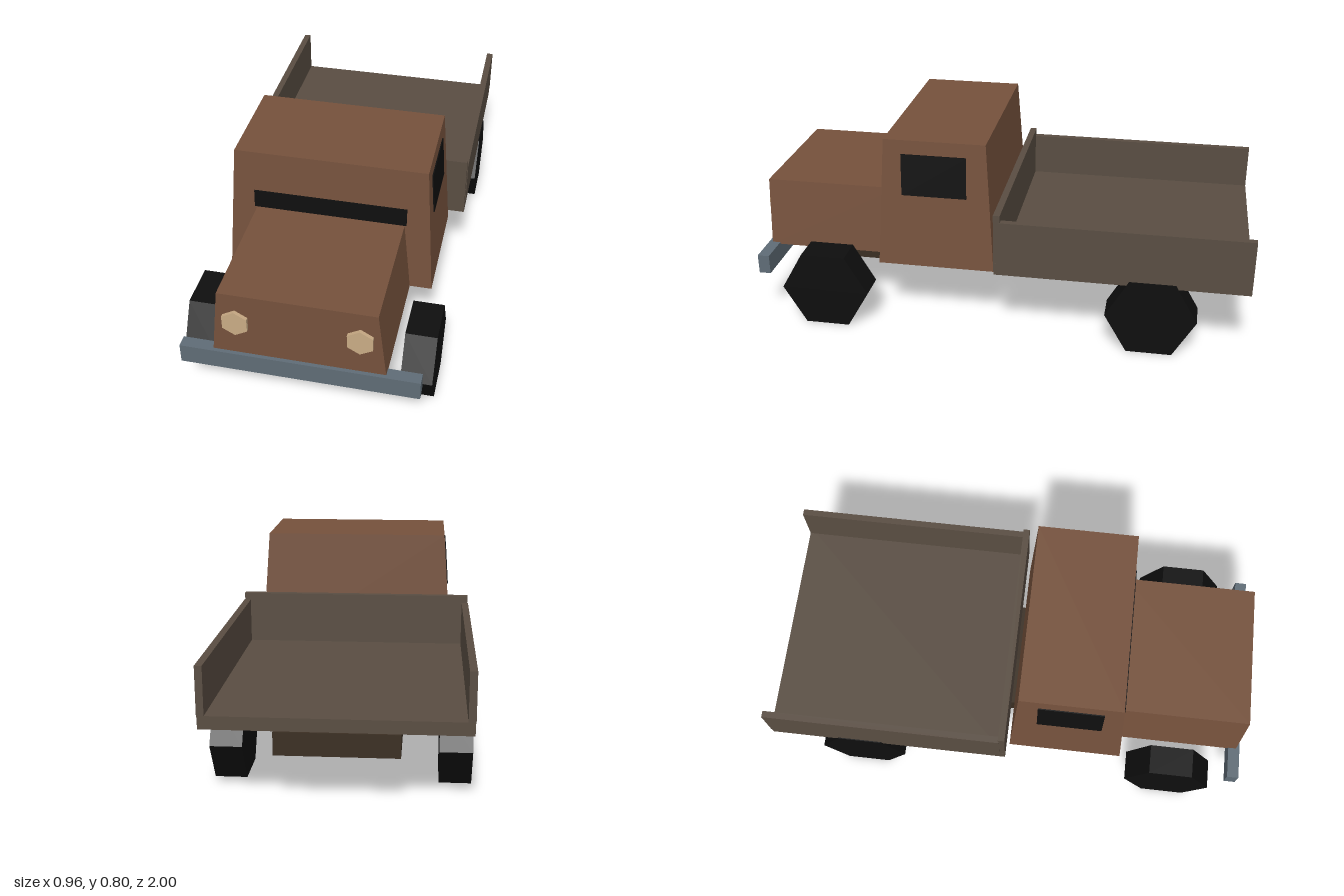
import * as THREE from 'three';

const mat = (name, color) => new THREE.MeshStandardMaterial({ name, color, flatShading: true });

export function createModel() {
  const truck = new THREE.Group();
  truck.name = 'pickupTruck';

  const paint = mat('brownPaint', 0x75513c);
  const bedPaint = mat('greyBrownBed', 0x594d42);
  const frame = mat('darkFrame', 0x3a2e22);
  const black = mat('black', 0x0e0e0e);
  const steel = mat('blueGreySteel', 0x5f6c76);
  const lamp = mat('tanLamp', 0xc9ab85);

  const add = (name, geometry, material, x = 0, y = 0, z = 0) => {
    const mesh = new THREE.Mesh(geometry, material);
    mesh.name = name;
    mesh.position.set(x, y, z);
    truck.add(mesh);
    return mesh;
  };

  // Box given by its limits on each axis
  const block = (name, material, [x0, x1], [y0, y1], [z0, z1]) =>
    add(name, new THREE.BoxGeometry(x1 - x0, y1 - y0, z1 - z0), material,
      (x0 + x1) / 2, (y0 + y1) / 2, (z0 + z1) / 2);

  // Moves every vertex of a geometry by a rule
  const reshape = (geometry, rule) => {
    const p = geometry.attributes.position;
    const v = new THREE.Vector3();
    for (let i = 0; i < p.count; i++) {
      rule(v.fromBufferAttribute(p, i));
      p.setXYZ(i, v.x, v.y, v.z);
    }
    geometry.computeVertexNormals();
    return geometry;
  };

  // Box whose top is narrower than its base
  const taperedBox = (w, h, d, topW, topD) =>
    reshape(new THREE.BoxGeometry(w, h, d), (v) => {
      if (v.y > 0) {
        v.x *= topW / w;
        v.z *= topD / d;
      }
    });

  // Chassis and bumper
  block('chassis', frame, [-0.225, 0.225], [0.185, 0.272], [-0.945, 0.78]);
  block('frontBumper', steel, [-0.452, 0.452], [0.198, 0.278], [0.952, 1]);

  // Cab and hood
  add('cab', taperedBox(0.824, 0.531, 0.475, 0.75, 0.41), paint, 0, 0.5365, 0.2525);
  add('hood', taperedBox(0.65, 0.284, 0.545, 0.586, 0.545), paint, 0, 0.413, 0.7125);

  // Windshield, leaning with the cab front
  const glass = reshape(new THREE.BoxGeometry(0.602, 0.072, 0.008), (v) => { v.z -= 0.06 * v.y; });
  add('windshield', glass, black, 0, 0.596, 0.4718);

  // Cargo bed
  block('bedFloor', bedPaint, [-0.477, 0.477], [0.296, 0.345], [-1, 0]);
  block('bedFrontWall', bedPaint, [-0.476, 0.476], [0.296, 0.554], [-0.024, 0.003]);

  for (const [side, s] of [['left', 1], ['right', -1]]) {
    // Bed side wall
    const wall = new THREE.BoxGeometry(0.027, 0.185, 0.98);
    add(side + 'BedWall', wall, bedPaint, s * 0.4655, 0.4325, -0.51);

    // Side window, leaning with the cab side
    const pane = reshape(new THREE.BoxGeometry(0.008, 0.17, 0.262), (v) => { v.x -= s * 0.07 * v.y; });
    add(side + 'SideWindow', pane, black, s * 0.3855, 0.66, 0.256);

    // Six-sided headlight
    const light = new THREE.CylinderGeometry(0.054, 0.054, 0.03, 6).rotateX(Math.PI / 2);
    add(side + 'Headlight', light, lamp, s * 0.23, 0.43, 0.984);

    // Six-sided wheels
    for (const [end, z] of [['Front', 0.708], ['Rear', -0.623]]) {
      const wheel = new THREE.CylinderGeometry(0.181, 0.181, 0.121, 6).rotateZ(Math.PI / 2);
      add(side + end + 'Wheel', wheel, black, s * 0.4205, 0.157, z);
    }
  }

  return truck;
}
